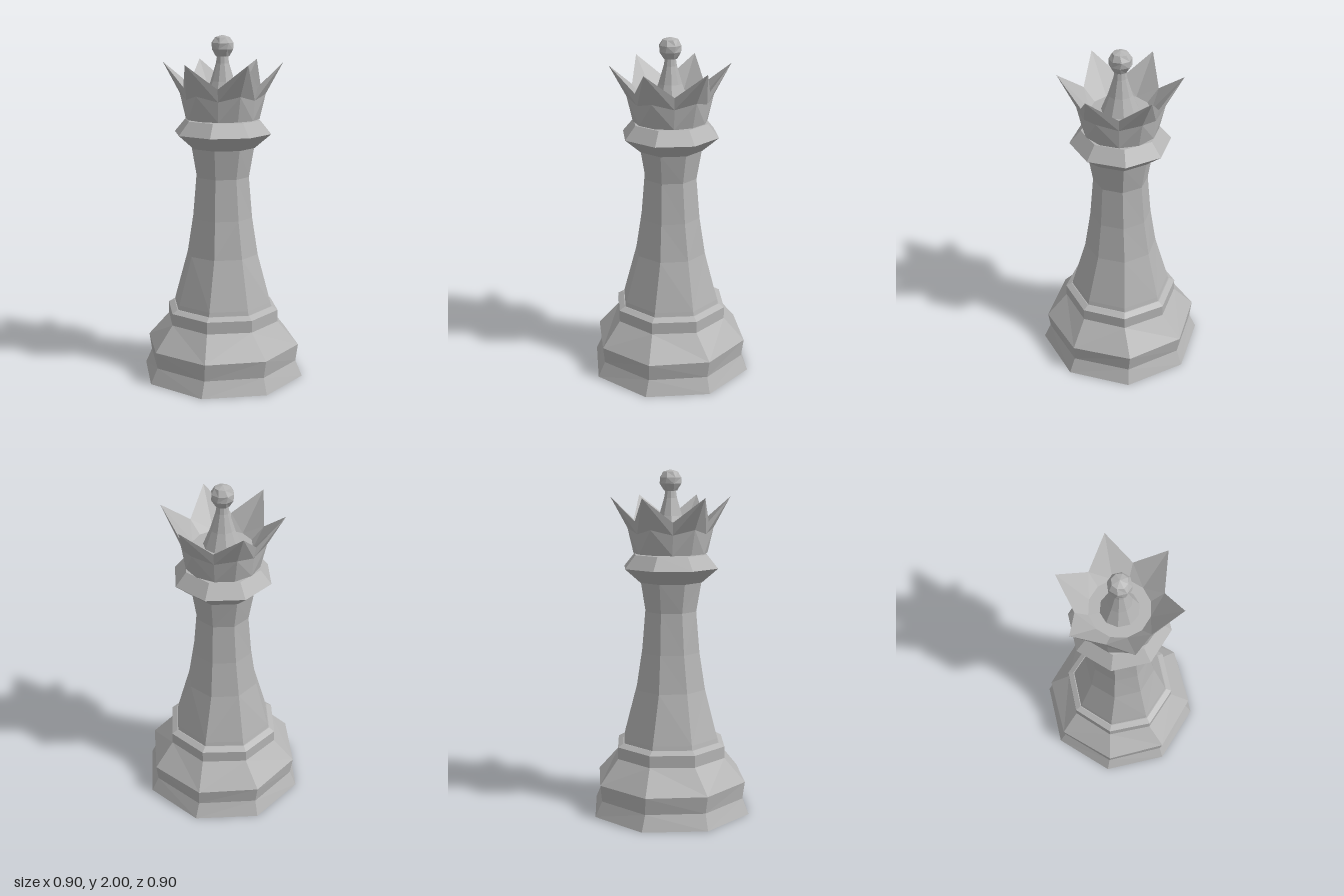
import * as THREE from 'three';

const stone = new THREE.MeshStandardMaterial({ color: 0xb4b4b4 });
stone.name = 'grey stone';

// Faceted loft through rings; each ring is a function of the corner index giving [radius, y, twist in degrees]
function loft(name, sides, offset, rings) {
  const pos = [];
  const point = (ring, i) => {
    const [r, y, twist = 0] = ring(i % sides);
    const a = (i / sides) * Math.PI * 2 + THREE.MathUtils.degToRad(offset + twist);
    return new THREE.Vector3(r * Math.cos(a), y, r * Math.sin(a));
  };
  const tri = (a, b, c) => {
    const n = b.clone().sub(a).cross(c.clone().sub(a));
    if (n.length() > 1e-9) for (const p of [a, b, c]) pos.push(p.x, p.y, p.z);
  };
  for (let k = 0; k < rings.length - 1; k++) {
    for (let i = 0; i < sides; i++) {
      const a = point(rings[k], i), b = point(rings[k], i + 1);
      const c = point(rings[k + 1], i), d = point(rings[k + 1], i + 1);
      // alternate the diagonal so zigzag rings stay symmetric
      if (i % 2) { tri(a, c, d); tri(a, d, b); } else { tri(a, c, b); tri(b, c, d); }
    }
  }
  const geometry = new THREE.BufferGeometry();
  geometry.setAttribute('position', new THREE.Float32BufferAttribute(pos, 3));
  geometry.computeVertexNormals();
  const mesh = new THREE.Mesh(geometry, stone);
  mesh.name = name;
  return mesh;
}

const even = (r, y, twist) => () => [r, y, twist];
const zigzag = (r0, y0, r1, y1) => (i) => (i % 2 ? [r1, y1] : [r0, y0]);

export function createModel() {
  const group = new THREE.Group();
  group.name = 'chessQueen';

  // Stepped octagonal foot
  group.add(loft('base', 8, 22.5, [
    even(0, 0), even(0.487, 0), even(0.446, 0.09, -0.7), even(0.459, 0.19, -1.5),
    even(0.337, 0.33, 1.3), even(0.337, 0.4, 1.3), even(0.303, 0.42, 1), even(0, 0.42),
  ]));

  // Slender waisted column
  group.add(loft('column', 8, 22.5, [
    even(0.3, 0.41, 1), even(0.292, 0.445, 1), even(0.212, 0.73, -1),
    even(0.178, 0.95, 0), even(0.158, 1.19, 1), even(0.188, 1.365, 0),
  ]));

  // Flared collar under the crown
  group.add(loft('collar', 8, 22.5, [
    even(0, 1.36), even(0.19, 1.36), even(0.287, 1.443, 0), even(0.222, 1.52), even(0, 1.525),
  ]));

  // Six pointed crown with a sunken floor
  group.add(loft('crown', 12, 0, [
    even(0, 1.515), even(0.214, 1.525), zigzag(0.248, 1.67, 0.225, 1.64),
    zigzag(0.345, 1.848, 0.241, 1.712), even(0.17, 1.64), even(0, 1.64),
  ]));

  // Spire rising from the crown floor
  group.add(loft('spire', 10, 18, [
    even(0.108, 1.64), even(0.068, 1.74), even(0.038, 1.84), even(0.03, 1.89),
  ]));

  // Faceted ball on the tip
  group.add(loft('ball', 8, 22.5, [
    even(0, 1.88), even(0.04, 1.88), even(0.065, 1.92, 8),
    even(0.065, 1.955), even(0.045, 1.987, 8), even(0, 2),
  ]));

  return group;
}
